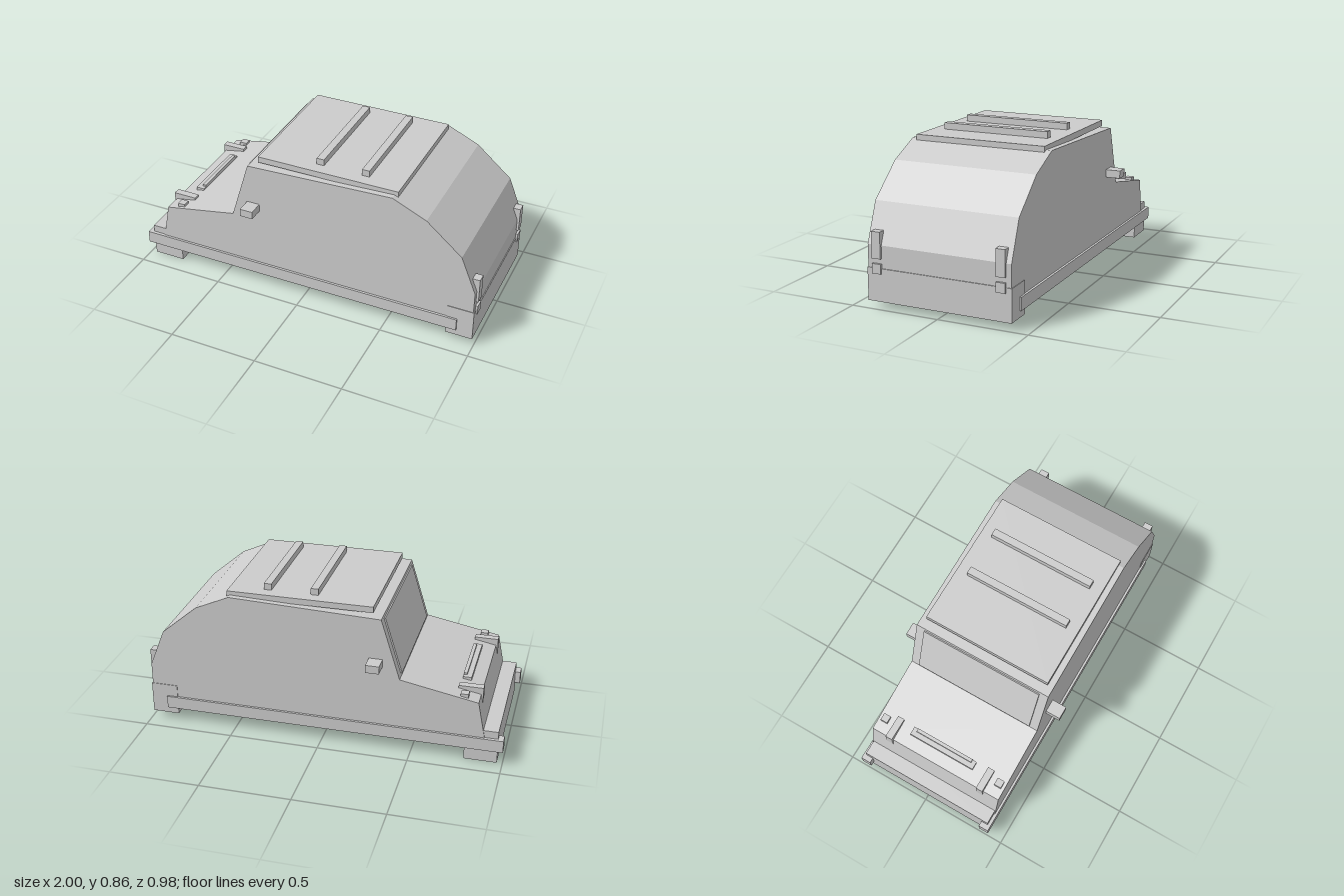
import * as THREE from 'three';

export function createModel() {
  const car = new THREE.Group();
  car.name = 'car';
  const paint = new THREE.MeshStandardMaterial({ color: 0xcccccc });
  paint.name = 'light grey';

  const add = (name, geometry) => {
    const mesh = new THREE.Mesh(geometry, paint);
    mesh.name = name;
    car.add(mesh);
    return mesh;
  };
  // Box given by its lower and upper limits on each axis
  const box = (name, x0, x1, y0, y1, z0, z1) => {
    const mesh = add(name, new THREE.BoxGeometry(x1 - x0, y1 - y0, z1 - z0));
    mesh.position.set((x0 + x1) / 2, (y0 + y1) / 2, (z0 + z1) / 2);
    return mesh;
  };
  // The same box on both sides of the car
  const pair = (name, x0, x1, y0, y1, z0, z1) => {
    box(name + 'A', x0, x1, y0, y1, z0, z1);
    box(name + 'B', x0, x1, y0, y1, -z1, -z0);
  };

  // Body shell: side profile extruded across the width (nose towards -x)
  const profile = [
    [-0.91, 0.08], [0.985, 0.08], [0.985, 0.34], [0.9, 0.55], [0.7, 0.72],
    [0.51, 0.805], [-0.325, 0.775], [-0.43, 0.435], [-0.855, 0.355],
  ].map(([x, y]) => new THREE.Vector2(x, y));
  const width = 0.81;
  const shell = new THREE.ExtrudeGeometry(new THREE.Shape(profile), { depth: width, bevelEnabled: false });
  shell.translate(0, 0, -width / 2);
  add('body', shell);

  // Windscreen plate lying on the slope between bonnet and roof
  const low = new THREE.Vector2(-0.43, 0.435), high = new THREE.Vector2(-0.325, 0.775);
  const slope = high.clone().sub(low);
  const screen = add('windscreen', new THREE.BoxGeometry(slope.length() * 0.92, 0.016, 0.71));
  screen.rotation.z = slope.angle();
  screen.position.set((low.x + high.x) / 2, (low.y + high.y) / 2, 0);

  // Bumpers and sills
  box('frontBumper', -0.97, -0.79, 0, 0.19, -0.4, 0.4);
  box('rearBumper', 0.84, 0.99, 0.04, 0.218, -0.408, 0.408);
  pair('sill', -1, 0.9, 0.077, 0.148, 0.36, 0.418);

  // Roof plate and its two bars
  box('roofPlate', -0.275, 0.53, 0.793, 0.827, -0.372, 0.372);
  for (const x of [0.06, 0.32]) box('roofBar', x - 0.021, x + 0.021, 0.82, 0.863, -0.305, 0.305);

  // Mirrors
  pair('mirror', -0.336, -0.262, 0.5, 0.544, 0.4, 0.489);

  // Headlamps, markers and bonnet vent
  pair('headlamp', -0.866, -0.732, 0.28, 0.393, 0.27, 0.31);
  pair('bonnetMarker', -0.797, -0.755, 0.345, 0.388, 0.345, 0.387);
  box('bonnetVent', -0.785, -0.738, 0.36, 0.388, -0.2, 0.2);
  box('bonnetVentRib', -0.757, -0.738, 0.38, 0.399, -0.175, 0.175);

  // Tail lamps
  pair('tailLamp', 0.957, 0.998, 0.27, 0.413, 0.325, 0.376);
  pair('reflector', 0.96, 0.998, 0.19, 0.243, 0.325, 0.376);

  return car;
}
